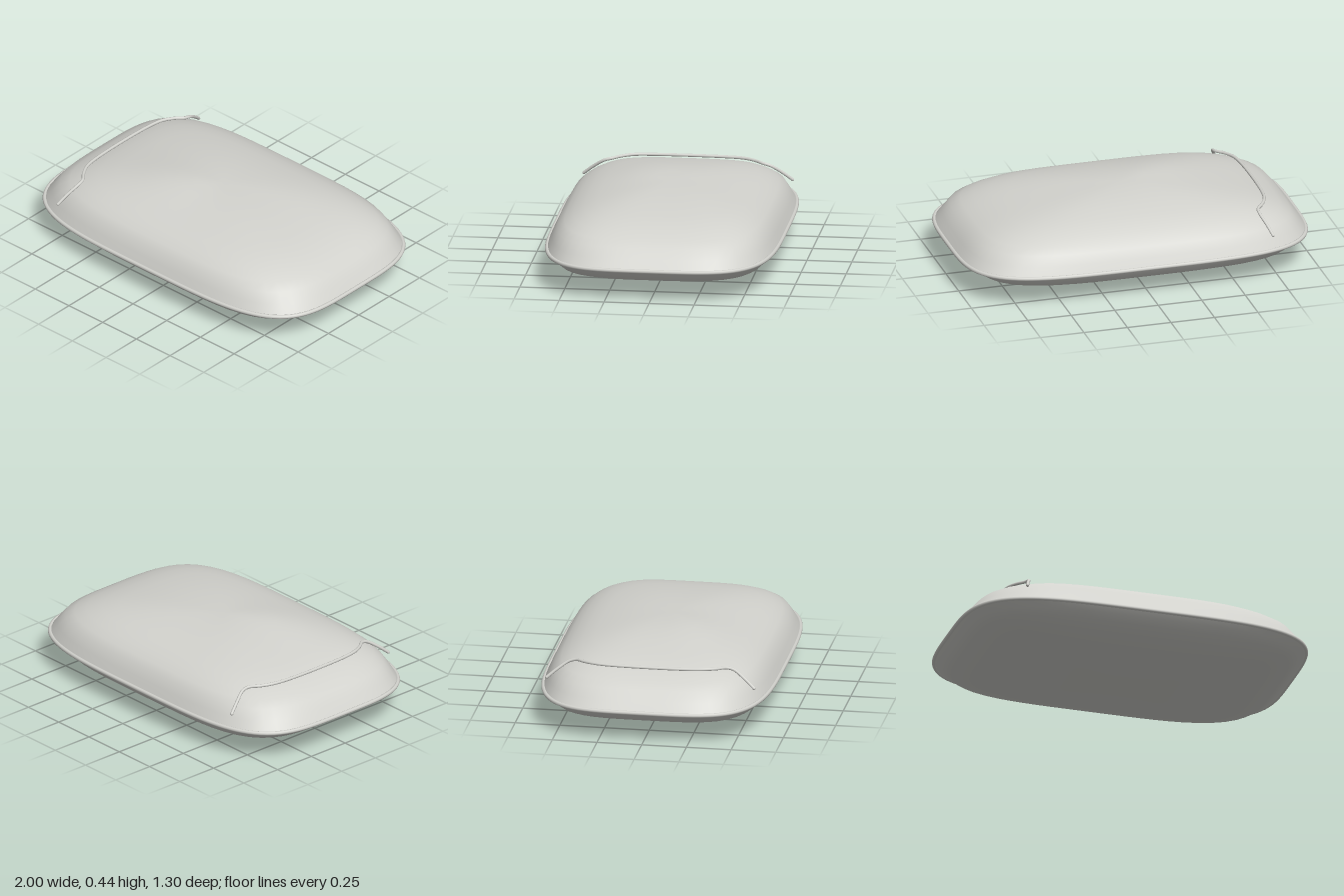
import * as THREE from 'three';

const HALF_X = 0.988, HALF_Z = 0.64, SEAM_Y = 0.185, SEGMENTS = 80;

// Point on the rounded-rectangle outline, scaled inward by s
function outline(angle, s) {
  const c = Math.cos(angle), n = Math.sin(angle);
  const r = s / Math.pow(c ** 4 + n ** 4, 0.25);
  return [HALF_X * r * c, HALF_Z * r * n];
}

// One padded half: rings of the outline lifted along a profile of [scale, height]
function paddedHalf(profile, sign, bump) {
  const positions = [], indices = [];
  profile.forEach(([s, h]) => {
    for (let i = 0; i < SEGMENTS; i++) {
      const [x, z] = outline((i / SEGMENTS) * Math.PI * 2, s);
      positions.push(x, SEAM_Y + sign * h + bump(x, z), z);
    }
  });
  const centre = positions.length / 3;
  const last = profile.length - 1;
  positions.push(0, SEAM_Y + sign * profile[last][1] + bump(0, 0), 0);
  const face = (a, b, c) => (sign > 0 ? indices.push(a, b, c) : indices.push(a, c, b));
  for (let i = 0; i < SEGMENTS; i++) {
    const j = (i + 1) % SEGMENTS;
    for (let k = 0; k < last; k++) {
      const o = k * SEGMENTS, p = o + SEGMENTS;
      face(o + i, p + i, o + j);
      face(o + j, p + i, p + j);
    }
    face(last * SEGMENTS + i, centre, last * SEGMENTS + j);
  }
  const geometry = new THREE.BufferGeometry();
  geometry.setAttribute('position', new THREE.Float32BufferAttribute(positions, 3));
  geometry.setIndex(indices);
  geometry.computeVertexNormals();
  return geometry;
}

export function createModel() {
  const group = new THREE.Group();
  group.name = 'pillow';
  const fabric = new THREE.MeshStandardMaterial({ color: 0xd2d2cd });
  fabric.name = 'pale grey fabric';

  const add = (name, geometry) => {
    const mesh = new THREE.Mesh(geometry, fabric);
    mesh.name = name;
    group.add(mesh);
  };

  // Fuller upper half with a soft off-centre swell
  const topProfile = [[1, 0], [0.96, 0.055], [0.915, 0.108], [0.86, 0.139], [0.79, 0.168],
    [0.7, 0.193], [0.6, 0.212], [0.45, 0.233], [0.3, 0.246], [0.15, 0.254]];
  const swell = (x, z) => 0.016 * Math.exp(-(((x + 0.22) / 0.22) ** 2) - ((z - 0.12) / 0.2) ** 2);
  add('upperCushion', paddedHalf(topProfile, 1, swell));

  // Shallower underside
  const bottomProfile = [[1, 0], [0.96, 0.035], [0.91, 0.07], [0.8, 0.103], [0.7, 0.125],
    [0.6, 0.141], [0.45, 0.159], [0.3, 0.171], [0.15, 0.178]];
  add('underside', paddedHalf(bottomProfile, -1, () => 0));

  // Piping around the edge
  const edge = [];
  for (let i = 0; i < SEGMENTS; i++) {
    const [x, z] = outline((i / SEGMENTS) * Math.PI * 2, 1);
    edge.push(new THREE.Vector3(x, SEAM_Y, z));
  }
  const edgeCurve = new THREE.CatmullRomCurve3(edge, true);
  add('edgePiping', new THREE.TubeGeometry(edgeCurve, 160, 0.012, 8, true));

  // Raised opening seam near the right end, mirrored front to back
  const half = [[-0.71, 0.27, 0.58], [-0.69, 0.315, 0.525], [-0.667, 0.358, 0.46],
    [-0.67, 0.368, 0.42], [-0.705, 0.372, 0.375], [-0.738, 0.375, 0.31], [-0.755, 0.375, 0.2]];
  const front = half.map(([x, y, z]) => new THREE.Vector3(x, y, z));
  const back = half.map(([x, y, z]) => new THREE.Vector3(x, y, -z)).reverse();
  const seamCurve = new THREE.CatmullRomCurve3([...front, ...back]);
  add('openingSeam', new THREE.TubeGeometry(seamCurve, 80, 0.009, 8, false));
  for (const end of [front[0], back[back.length - 1]]) {
    add('seamEnd', new THREE.SphereGeometry(0.009, 8, 6).translate(end.x, end.y, end.z));
  }

  return group;
}
